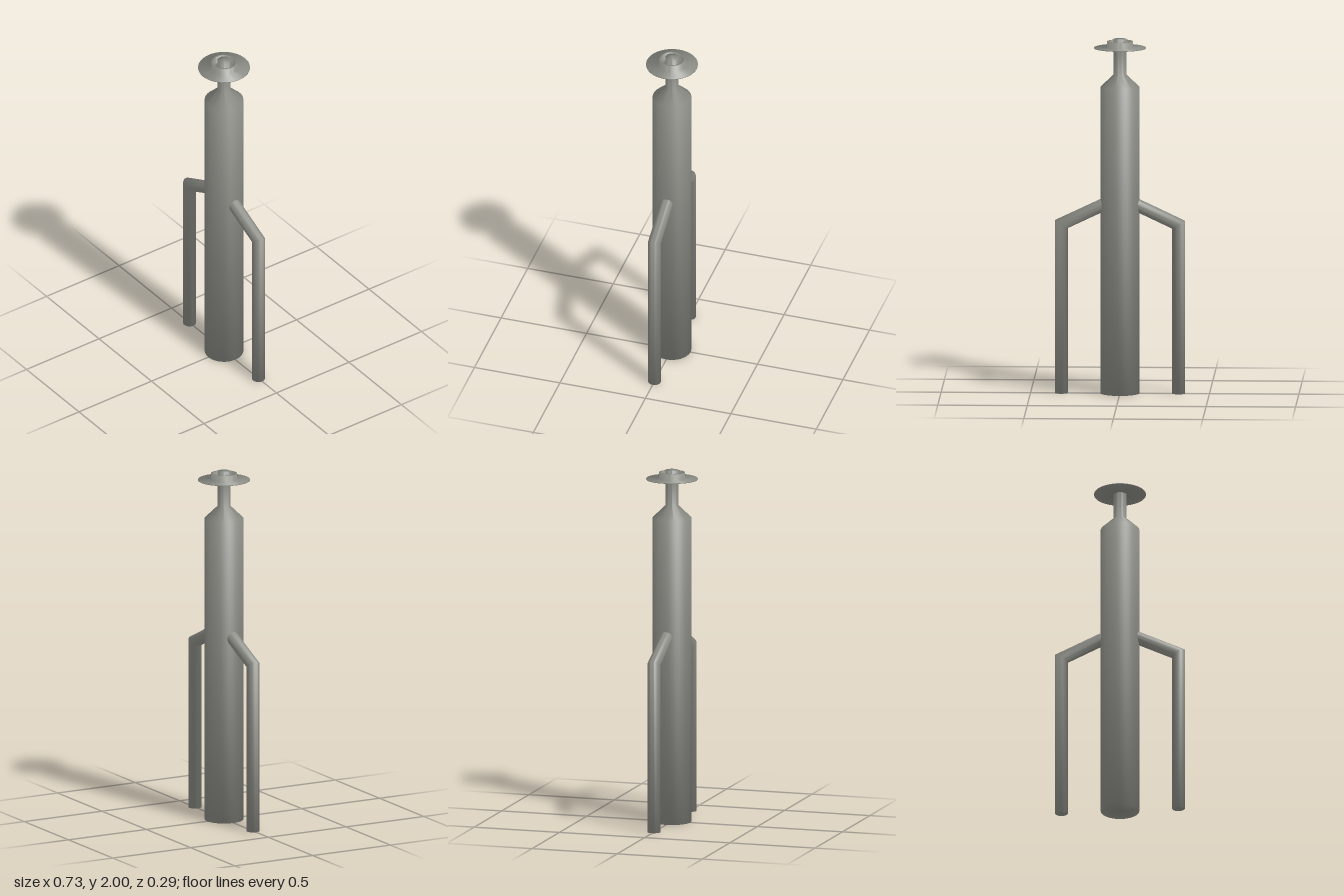
import * as THREE from 'three';
import { toCreasedNormals } from 'three/addons/utils/BufferGeometryUtils.js';

const SEG = 48;
const material = new THREE.MeshStandardMaterial({ color: 0x8c8c86 });

// Every edge is shaded softly, including the rims
function part(name, geometry) {
  const mesh = new THREE.Mesh(toCreasedNormals(geometry, Math.PI), material);
  mesh.name = name;
  return mesh;
}

// Turned part from [radius, height] pairs, listed bottom to top
function turned(name, profile) {
  return part(name, new THREE.LatheGeometry(profile.map(([r, y]) => new THREE.Vector2(r, y)), SEG));
}

// Upright pipe that bends at a mitre and slopes up into the body
function armGeometry(side) {
  const r = 0.036, x0 = 0.328, yBend = 0.953, mitre = 0.63, slope = 0.473, xEnd = 0.06;
  const sides = 32, positions = [], index = [];
  for (let ring = 0; ring < 4; ring++) {
    for (let i = 0; i < sides; i++) {
      const a = (i / sides) * Math.PI * 2;
      const dx = ring === 0 ? 0 : r * Math.cos(a);
      const z = ring === 0 ? 0 : r * Math.sin(a);
      let x = x0 + dx, y = 0;
      if (ring >= 2) y = yBend + mitre * dx;
      if (ring === 3) {
        y += slope * (x - xEnd);
        x = xEnd;
      }
      positions.push(side * x, y, z);
    }
  }
  for (let ring = 0; ring < 3; ring++) {
    for (let i = 0; i < sides; i++) {
      const j = (i + 1) % sides;
      const a = ring * sides + i, b = ring * sides + j, c = a + sides, d = b + sides;
      // The first ring is the centre of the foot, so it needs one triangle only
      const tris = ring === 0 ? [[a, c, d]] : [[a, c, b], [b, c, d]];
      for (const [p, q, s] of tris) index.push(...(side > 0 ? [p, q, s] : [p, s, q]));
    }
  }
  const geometry = new THREE.BufferGeometry();
  geometry.setAttribute('position', new THREE.Float32BufferAttribute(positions, 3));
  geometry.setIndex(index);
  return geometry;
}

export function createModel() {
  const model = new THREE.Group();
  model.name = 'bottleWithSidePipes';

  // Main column with conical shoulder and narrow neck
  model.add(turned('body', [[0, 0], [0.108, 0], [0.108, 1.73], [0.036, 1.8], [0.036, 1.95]]));

  // Thin round plate, open collar and central tip
  model.add(turned('cap', [
    [0.036, 1.948], [0.145, 1.948], [0.145, 1.952], [0.073, 1.952], [0.073, 1.987],
    [0.06, 1.987], [0.06, 1.952], [0.036, 1.952], [0.036, 2], [0, 2],
  ]));

  // Side pipes
  model.add(part('leftPipe', armGeometry(1)));
  model.add(part('rightPipe', armGeometry(-1)));
  return model;
}
